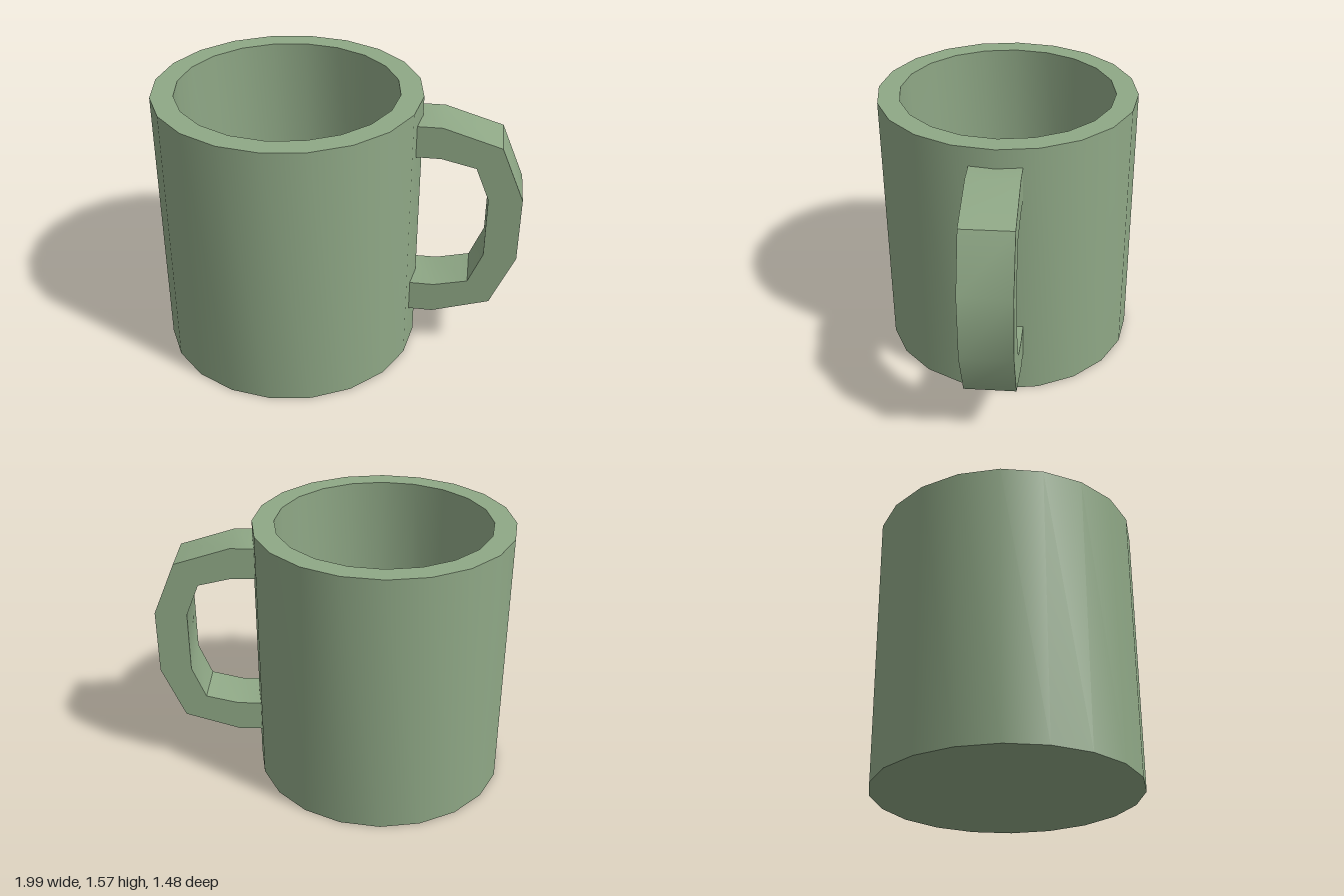
import * as THREE from 'three';
import { toCreasedNormals } from 'three/addons/utils/BufferGeometryUtils.js';

const CREASE = THREE.MathUtils.degToRad(35);

export function createModel() {
  const model = new THREE.Group();
  model.name = 'mug';
  const material = new THREE.MeshStandardMaterial({ color: 0x8fa886 });

  const addPart = (name, geometry) => {
    const mesh = new THREE.Mesh(toCreasedNormals(geometry, CREASE), material);
    mesh.name = name;
    model.add(mesh);
  };

  // Cup: twenty-sided wall with a flat rim, hollow inside down to the floor
  const R = 0.742, r = 0.617, H = 1.57, floor = 0.13;
  const profile = [[0, 0], [R, 0], [R, H], [r, H], [r, floor], [0, floor]];
  addPart('cup', new THREE.LatheGeometry(profile.map(([x, y]) => new THREE.Vector2(x, y)), 20));

  // Handle: upper half of the outline, mirrored about its middle height
  const mid = 0.86, width = 0.285;
  const outer = [[0.719, 0.6], [0.856, 0.6], [1.178, 0.5], [1.309, 0.19]];
  const inner = [[0.719, 0.415], [0.856, 0.415], [1.047, 0.37], [1.124, 0.18]];
  const flip = (pts) => pts.map(([x, y]) => [x, -y]).reverse();
  const outline = [...outer, ...flip(outer), ...flip(inner).reverse(), ...inner.slice().reverse()];
  const shape = new THREE.Shape(outline.map(([x, y]) => new THREE.Vector2(x, y + mid)));
  const handle = new THREE.ExtrudeGeometry(shape, { depth: width, bevelEnabled: false });
  handle.translate(0, 0, -width / 2);
  addPart('handle', handle);

  // Turn the handle towards the front and centre the whole
  model.rotation.y = THREE.MathUtils.degToRad(-23.8);
  model.position.x = -0.262;

  const root = new THREE.Group();
  root.add(model);
  return root;
}
